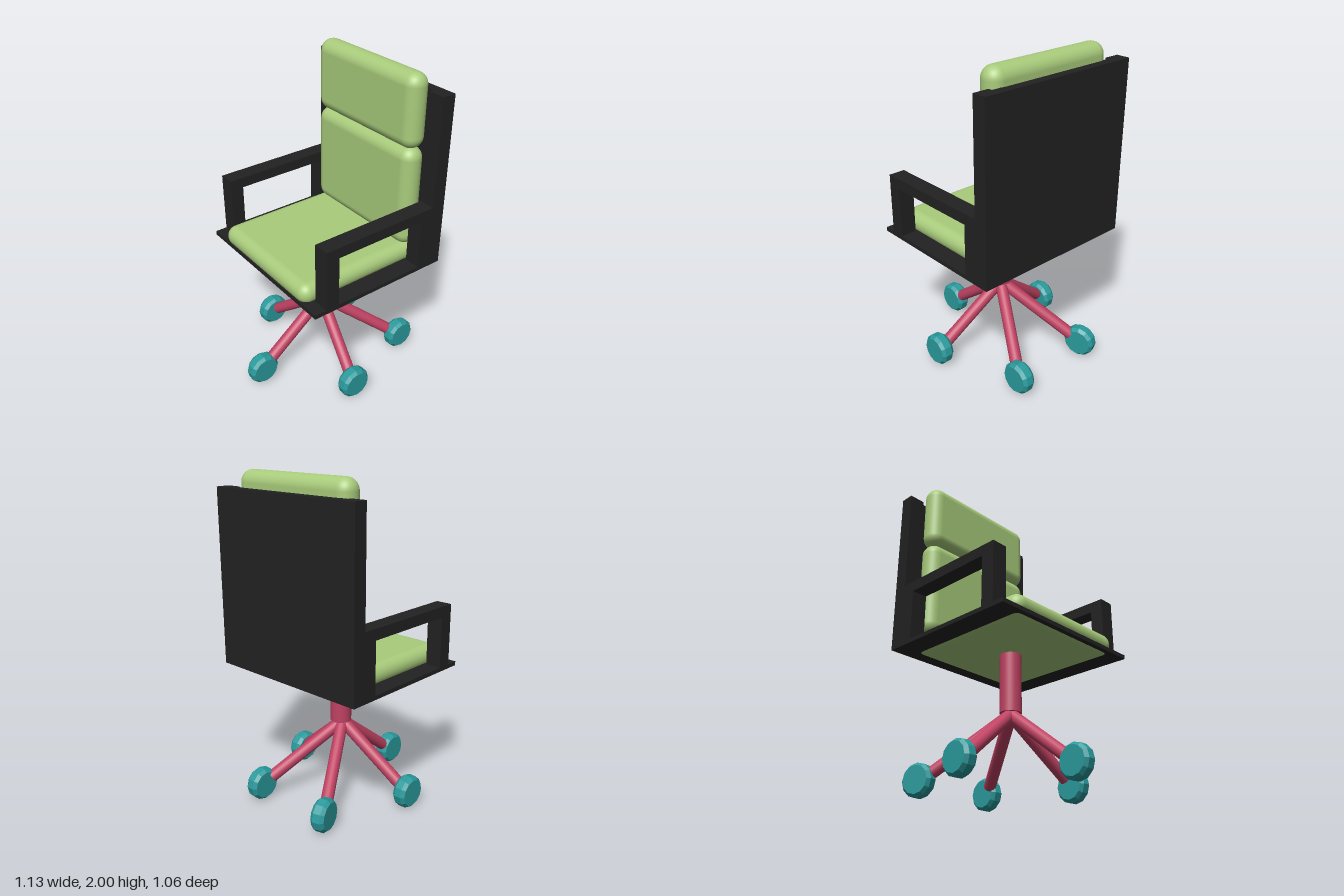
import * as THREE from 'three';
import { RoundedBoxGeometry } from 'three/addons/geometries/RoundedBoxGeometry.js';

export function createModel() {
  const chair = new THREE.Group();
  chair.name = 'officeChair';

  const fabric = new THREE.MeshStandardMaterial({ color: 0xa9cc7c });
  const frame = new THREE.MeshStandardMaterial({ color: 0x222222 });
  const metal = new THREE.MeshStandardMaterial({ color: 0xc04263 });
  const rubber = new THREE.MeshStandardMaterial({ color: 0x2a9a9c, flatShading: true });

  function add(name, geometry, material, parent = chair) {
    const mesh = new THREE.Mesh(geometry, material);
    mesh.name = name;
    parent.add(mesh);
    return mesh;
  }

  // Boxes given by their lower and upper limits on each axis
  function box(name, [x0, x1], [y0, y1], [z0, z1], parent) {
    add(name, new THREE.BoxGeometry(x1 - x0, y1 - y0, z1 - z0), frame, parent)
      .position.set((x0 + x1) / 2, (y0 + y1) / 2, (z0 + z1) / 2);
  }
  function cushion(name, [x0, x1], [y0, y1], radius) {
    add(name, new RoundedBoxGeometry(x1 - x0, y1 - y0, 0.845, 4, radius), fabric)
      .position.set((x0 + x1) / 2, (y0 + y1) / 2, 0);
  }

  // Seat plate and back panel
  box('seatPlate', [-0.44, 0.48], [0.835, 0.86], [-0.53, 0.53]);
  box('backPanel', [0.42, 0.48], [0.86, 1.9], [-0.43, 0.43]);

  // Back posts and armrests on both sides
  for (const side of [-1, 1]) {
    const z = side > 0 ? [0.43, 0.53] : [-0.53, -0.43];
    box('backPost', [0.395, 0.48], [0.86, 1.9], z);
    const arm = new THREE.Group();
    arm.name = side > 0 ? 'leftArmrest' : 'rightArmrest';
    box('armFrontPost', [-0.365, -0.28], [0.86, 1.17], z, arm);
    box('armRearPost', [0.31, 0.395], [0.86, 1.17], z, arm);
    box('armTop', [-0.365, 0.395], [1.17, 1.235], z, arm);
    chair.add(arm);
  }

  // Cushions
  cushion('seatCushion', [-0.44, 0.425], [0.825, 0.957], 0.065);
  cushion('lowerBackCushion', [0.28, 0.425], [0.94, 1.57], 0.072);
  cushion('upperBackCushion', [0.28, 0.425], [1.56, 2], 0.072);

  // Column
  add('column', new THREE.CylinderGeometry(0.065, 0.065, 0.37, 32), metal)
    .position.set(0.012, 0.65, 0);

  // Five legs, each ending in a bevelled wheel: x, z, swivel angle
  const wheels = [
    [-0.465, -0.008, 0],
    [-0.08, 0.437, 0],
    [0.457, 0.255, 0],
    [0.46, -0.285, 0.27],
    [-0.08, -0.468, 0],
  ];
  const wheelProfile = [
    [0, -0.043], [0.083, -0.043], [0.1, -0.023], [0.1, 0.023], [0.083, 0.043], [0, 0.043],
  ].map(([r, y]) => new THREE.Vector2(r, y));
  const wheelGeometry = new THREE.LatheGeometry(wheelProfile, 12).rotateX(Math.PI / 2);
  const hub = new THREE.Vector3(0.005, 0.455, -0.006);
  const up = new THREE.Vector3(0, 1, 0);

  for (const [x, z, swivel] of wheels) {
    const end = hub.clone().lerp(new THREE.Vector3(x, 0.09, z), 0.88);
    const along = end.clone().sub(hub);
    const leg = add('leg', new THREE.CylinderGeometry(0.037, 0.037, along.length(), 20), metal);
    leg.position.copy(hub).lerp(end, 0.5);
    leg.quaternion.setFromUnitVectors(up, along.normalize());

    const wheel = add('wheel', wheelGeometry, rubber);
    wheel.position.set(x, 0.1, z);
    wheel.rotation.y = swivel;
  }

  return chair;
}
